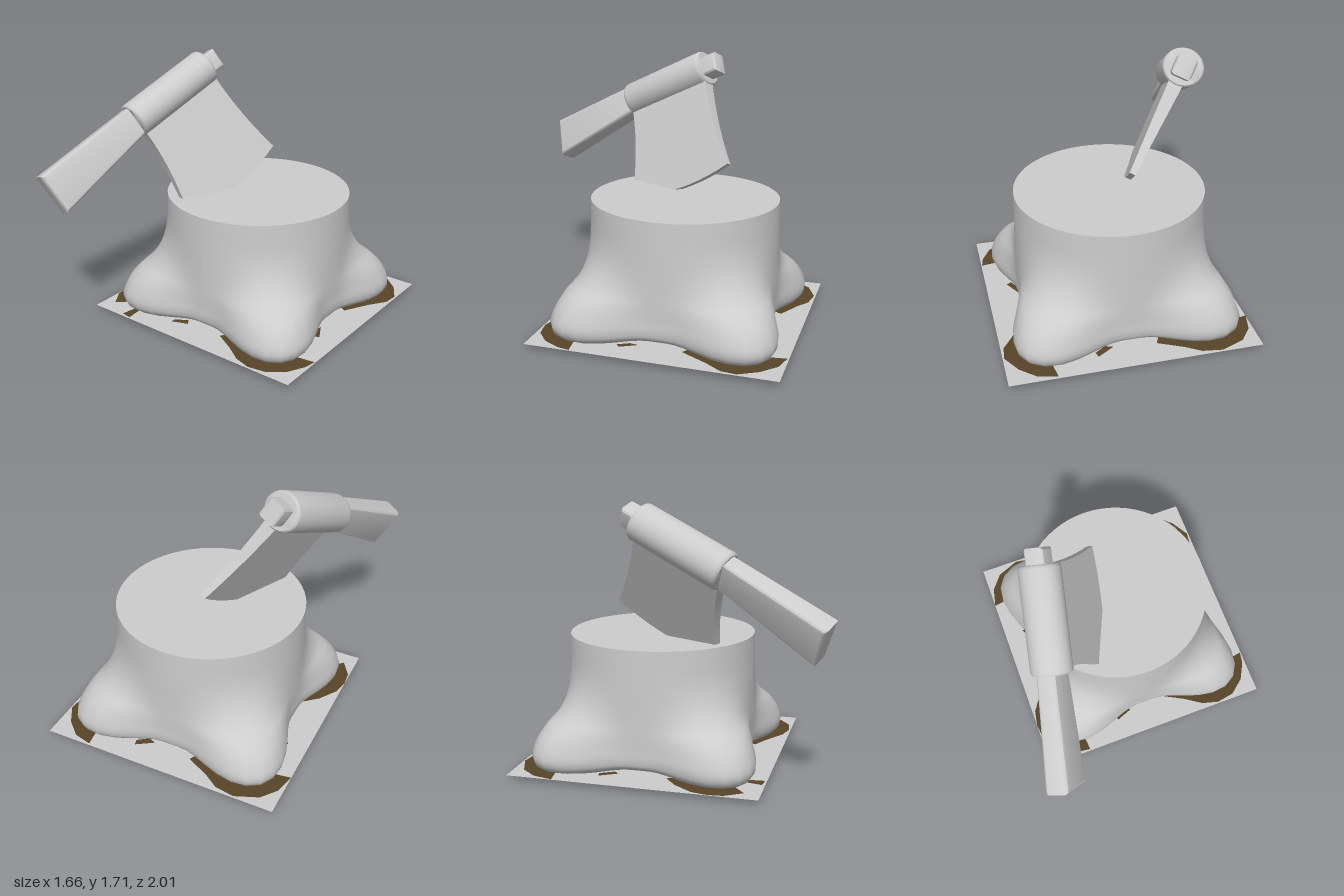
import * as THREE from 'three';
import { toCreasedNormals } from 'three/addons/utils/BufferGeometryUtils.js';

const paleGrey = new THREE.MeshStandardMaterial({ color: 0xcccccc, side: THREE.DoubleSide });
const soilBrown = new THREE.MeshStandardMaterial({ color: 0x574529 });

const TOP = 0.83, GROUND = 0.03, CX = 0.03, CZ = -0.205;

function add(parent, name, geometry, material = paleGrey) {
  const mesh = new THREE.Mesh(geometry, material);
  mesh.name = name;
  parent.add(mesh);
  return mesh;
}

const toShape = (points) => new THREE.Shape(points.map(([x, y]) => new THREE.Vector2(x, y)));

// Trunk: a lathe whose lower rings swell into four diagonal roots
function trunkGeometry() {
  // height, trunk radius, extra root radius
  const rings = [
    [0.06, 0, 0], [0.045, 0.35, 0.08], [0.0, 0.54, 0.26], [0.04, 0.6, 0.305], [0.1, 0.615, 0.32],
    [0.2, 0.615, 0.285], [0.28, 0.615, 0.22], [0.36, 0.614, 0.12], [0.46, 0.613, 0.05],
    [0.6, 0.612, 0.008], [TOP, 0.608, 0],
  ].map((r) => new THREE.Vector3(...r));
  const samples = new THREE.CatmullRomCurve3(rings).getPoints(50);
  const geo = new THREE.LatheGeometry(samples.map((s) => new THREE.Vector2(Math.max(s.y, 0), s.x)), 64);
  const pos = geo.attributes.position;
  for (let i = 0; i < pos.count; i++) {
    const s = samples[i % samples.length];
    const angle = Math.floor(i / samples.length) / 64 * Math.PI * 2;
    const lobe = Math.pow(Math.abs(Math.sin(2 * angle)), 3);
    const r = Math.max(s.y, 0) + s.z * lobe;
    const lift = 0.045 * (1 - lobe) * Math.max(0, 1 - s.x / 0.2);
    pos.setXYZ(i, Math.sin(angle) * r, Math.max(0, s.x) + lift, Math.cos(angle) * r);
  }
  geo.computeVertexNormals();
  return geo;
}

function buildStump() {
  const stump = new THREE.Group();
  stump.name = 'stump';
  stump.position.set(CX, 0, CZ);
  add(stump, 'trunkAndRoots', trunkGeometry());
  add(stump, 'cutTop', new THREE.CircleGeometry(0.608, 64).rotateX(-Math.PI / 2)).position.y = TOP;
  return stump;
}

// Soil patches as [x, z] outlines: upper ones ring the roots, lower ones show underneath
const upperSoil = [
  [[-0.76, -0.7], [-0.73, -0.83], [-0.65, -0.93], [-0.5, -0.99], [-0.37, -0.97], [-0.28, -0.91], [-0.12, -0.83],
    [-0.15, -0.77], [-0.3, -0.8], [-0.42, -0.85], [-0.53, -0.84], [-0.6, -0.77], [-0.63, -0.72]],
  [[0.53, -0.99], [0.65, -0.96], [0.75, -0.87], [0.82, -0.75], [0.81, -0.65], [0.74, -0.55], [0.64, -0.37],
    [0.59, -0.4], [0.64, -0.52], [0.68, -0.65], [0.66, -0.75], [0.61, -0.82], [0.55, -0.85]],
  [[0.825, 0.29], [0.81, 0.37], [0.75, 0.48], [0.65, 0.56], [0.53, 0.58], [0.42, 0.55], [0.3, 0.47], [0.17, 0.4],
    [0.2, 0.35], [0.38, 0.41], [0.5, 0.45], [0.6, 0.43], [0.66, 0.36], [0.69, 0.31]],
  [[-0.68, 0.49], [-0.75, 0.38], [-0.76, 0.28], [-0.74, 0.18], [-0.66, 0.06], [-0.57, -0.02],
    [-0.54, 0.05], [-0.6, 0.2], [-0.61, 0.3], [-0.58, 0.4]],
  [[-0.46, 0.58], [-0.53, 0.57], [-0.51, 0.46], [-0.47, 0.46]],
  [[-0.2, 0.45], [-0.09, 0.41], [-0.12, 0.37], [-0.2, 0.42]],
  [[0.15, -0.8], [0.26, -0.87], [0.27, -0.83], [0.2, -0.78]],
  [[-0.63, -0.44], [-0.57, -0.33], [-0.54, -0.36], [-0.59, -0.45]],
  [[0.63, -0.09], [0.69, 0.02], [0.66, 0.04], [0.62, -0.03]],
];
const lowerSoil = [
  [[0.56, -0.98], [0.45, -0.93], [0.3, -0.77], [0.36, -0.5], [0.44, -0.5], [0.4, -0.72], [0.53, -0.86]],
  [[0.8, 0.25], [0.75, 0.12], [0.62, 0.05], [0.3, 0.1], [0.3, 0.14], [0.6, 0.15], [0.7, 0.27]],
  [[-0.7, -0.95], [-0.5, -0.97], [-0.18, -0.73], [-0.2, -0.69], [-0.45, -0.8], [-0.62, -0.84]],
  [[-0.73, -0.83], [-0.66, -0.87], [-0.6, -0.7], [-0.53, -0.53], [-0.59, -0.52]],
  [[-0.28, 0.46], [-0.4, 0.48], [-0.42, 0.34], [-0.4, 0.19], [-0.34, 0.19], [-0.35, 0.36]],
  [[0.26, -0.2], [0.2, -0.21], [0.19, -0.14], [0.24, -0.14]],
  [[0.02, -0.49], [-0.05, -0.47], [-0.03, -0.42], [0.02, -0.44]],
  [[-0.15, -0.44], [-0.22, -0.44], [-0.22, -0.4], [-0.16, -0.4]],
  [[0.1, 0.1], [0.06, 0.18], [-0.06, 0.17], [-0.02, 0.12]],
  [[-0.27, 0.12], [-0.33, 0.12], [-0.31, -0.2], [-0.31, -0.47], [-0.27, -0.47], [-0.27, -0.2]],
];

function buildGround() {
  const ground = new THREE.Group();
  ground.name = 'ground';
  add(ground, 'groundSheet', new THREE.PlaneGeometry(1.59, 1.59).rotateX(-Math.PI / 2))
    .position.set(0.035, GROUND, -0.205);
  for (const points of upperSoil) {
    const flipped = points.map(([x, z]) => [x, -z]);
    const geo = new THREE.ShapeGeometry(toShape(flipped)).rotateX(-Math.PI / 2);
    add(ground, 'upperSoil', geo, soilBrown).position.y = GROUND + 0.003;
  }
  for (const points of lowerSoil) {
    const geo = new THREE.ShapeGeometry(toShape(points)).rotateX(Math.PI / 2);
    add(ground, 'lowerSoil', geo, soilBrown).position.y = GROUND - 0.003;
  }
  return ground;
}

// Axe: local x runs up the handle, y towards the cutting edge, z across the blade
function buildAxe() {
  const axe = new THREE.Group();
  axe.name = 'axe';

  // Handle: bevelled bar widening to the grip end, with a small peg past the collar
  const bar = (name, points, thickness, flare) => {
    const bevel = 0.025;
    const geo = new THREE.ExtrudeGeometry(toShape(points), {
      depth: thickness - 2 * bevel, bevelThickness: bevel, bevelSize: bevel, bevelOffset: -bevel, bevelSegments: 3,
    });
    geo.translate(0, 0, bevel - thickness / 2);
    const pos = geo.attributes.position;
    for (let i = 0; i < pos.count; i++) {
      const t = Math.max(0, -0.3 - pos.getX(i));
      pos.setZ(i, pos.getZ(i) * (1 + flare * t) + 0.035 * t);
    }
    add(axe, name, toCreasedNormals(geo, 0.4));
  };
  bar('handle', [[-1.03, -0.085], [-0.28, -0.095], [-0.28, 0.1], [-1.03, 0.195]], 0.125, 0.3);
  bar('handleTip', [[0.25, -0.065], [0.42, -0.065], [0.42, 0.07], [0.25, 0.07]], 0.13, 0);

  // Collar: cylinder with softened ends, slightly wider across the blade
  const profile = [[0, -0.322], [0.108, -0.322], [0.117, -0.314], [0.12, -0.3],
    [0.12, 0.3], [0.117, 0.314], [0.108, 0.322], [0, 0.322]].map(([r, y]) => new THREE.Vector2(r, y));
  const collar = new THREE.LatheGeometry(profile, 28).rotateZ(-Math.PI / 2).scale(1, 1, 1.08);
  add(axe, 'collar', toCreasedNormals(collar, 0.7));

  // Blade: flared outline, thinning towards the cutting edge
  const outline = new THREE.Shape();
  outline.moveTo(-0.31, 0);
  outline.lineTo(-0.31, 0.12);
  outline.quadraticCurveTo(-0.31, 0.4, -0.4, 0.7);
  outline.quadraticCurveTo(0, 0.82, 0.39, 0.715);
  outline.quadraticCurveTo(0.32, 0.42, 0.315, 0.12);
  outline.lineTo(0.315, 0);
  const blade = new THREE.ExtrudeGeometry(outline, { depth: 0.1, bevelEnabled: false, curveSegments: 10 });
  blade.translate(0, 0, -0.05);
  const pos = blade.attributes.position;
  for (let i = 0; i < pos.count; i++) {
    const drop = pos.getY(i) / 0.75;
    pos.setZ(i, pos.getZ(i) * (1 - 0.65 * drop) - 0.022 * drop);
  }
  blade.computeVertexNormals();
  add(axe, 'blade', blade);

  // Lean the axe into the stump
  const along = new THREE.Vector3(0.21, 0.42, -0.88).normalize();
  const across = new THREE.Vector3().crossVectors(along, new THREE.Vector3(0.49, -0.826, -0.28)).normalize();
  const down = new THREE.Vector3().crossVectors(across, along);
  axe.applyMatrix4(new THREE.Matrix4().makeBasis(along, down, across).setPosition(-0.5, 1.463, 0.065));
  return axe;
}

export function createModel() {
  const model = new THREE.Group();
  model.name = 'axeInStump';
  model.add(buildStump(), buildGround(), buildAxe());
  return model;
}
